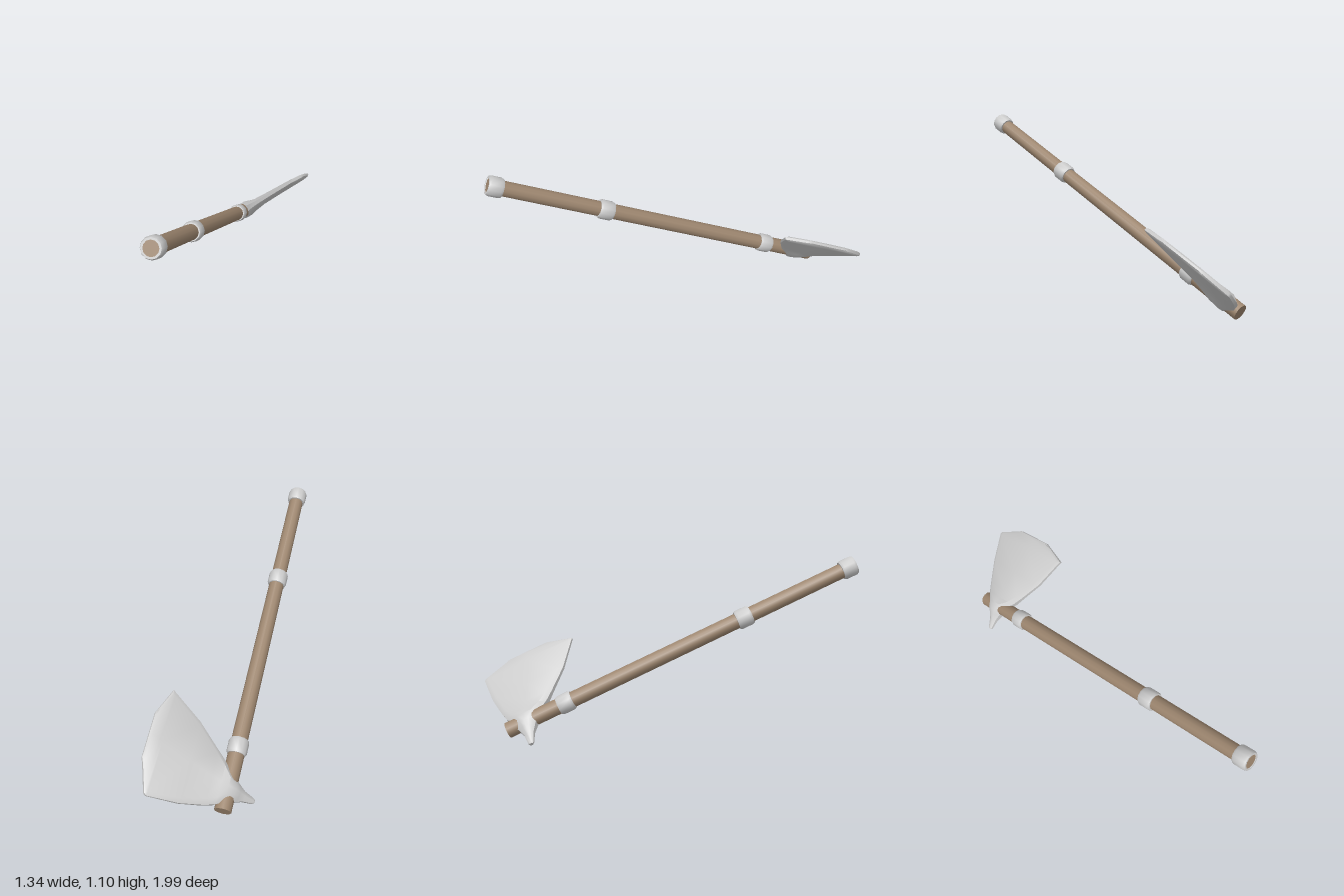
import * as THREE from 'three';
import { toCreasedNormals } from 'three/addons/utils/BufferGeometryUtils.js';

const wood = new THREE.MeshStandardMaterial({ color: 0x9d866f });
const metal = new THREE.MeshStandardMaterial({ color: 0xcccccc });

function addMesh(parent, name, geometry, material, y = 0) {
  const mesh = new THREE.Mesh(geometry, material);
  mesh.name = name;
  mesh.position.y = y;
  parent.add(mesh);
  return mesh;
}

// Metal band with softened rims, around the shaft
function bandGeometry(length) {
  const h = length / 2;
  const profile = [
    [0.043, -h], [0.055, -h], [0.061, -h + 0.014],
    [0.061, h - 0.014], [0.055, h], [0.043, h],
  ].map(([r, y]) => new THREE.Vector2(r, y));
  return toCreasedNormals(new THREE.LatheGeometry(profile, 12), 0.9);
}

// Axe head: bevelled cross-sections lofted from the spike to the cutting edge
// row: x position, lower y, upper y, half thickness, half thickness at the rim
function headGeometry() {
  const rows = [
    [-0.180, 0.108, 0.130, 0.010, 0.004],
    [-0.170, 0.102, 0.136, 0.014, 0.006],
    [-0.105, 0.092, 0.153, 0.024, 0.011],
    [-0.060, 0.073, 0.178, 0.042, 0.018],
    [-0.025, 0.056, 0.200, 0.056, 0.026],
    [0.025, 0.038, 0.232, 0.056, 0.026],
    [0.070, 0.012, 0.282, 0.042, 0.018],
    [0.130, -0.010, 0.330, 0.031, 0.013],
    [0.273, -0.049, 0.442, 0.023, 0.010],
    [0.464, -0.073, 0.548, 0.016, 0.008],
    [0.479, -0.064, 0.557, 0.015, 0.008],
    [0.532, 0.085, 0.424, 0.014, 0.007],
    [0.547, 0.119, 0.389, 0.006, 0.005],
  ];
  const positions = [];
  const index = [];
  const n = 10;
  for (const [x, a, b, t, rim] of rows) {
    const bevel = Math.min(0.3 * (b - a), 0.015 + t * 0.6);
    const mid = (a + b) / 2;
    const half = [[a, -rim], [a + bevel, -t], [mid, -t * 1.04], [b - bevel, -t], [b, -rim]];
    const loop = [...half, ...half.map(([y, z]) => [y, -z]).reverse()];
    loop.forEach(([y, z]) => positions.push(x, y, z));
  }
  for (let i = 0; i < rows.length - 1; i++) {
    for (let j = 0; j < n; j++) {
      const p = i * n + j;
      const q = i * n + (j + 1) % n;
      index.push(p, q, p + n, q, q + n, p + n);
    }
  }
  const last = (rows.length - 1) * n;
  for (let j = 1; j < n - 1; j++) {
    index.push(0, j + 1, j);
    index.push(last, last + j, last + j + 1);
  }
  const geometry = new THREE.BufferGeometry();
  geometry.setAttribute('position', new THREE.Float32BufferAttribute(positions, 3));
  geometry.setIndex(index);
  geometry.computeVertexNormals();
  return toCreasedNormals(geometry, 0.75);
}

export function createModel() {
  const model = new THREE.Group();
  model.name = 'axe';

  // Axe built upright: shaft along y, blade towards x, thickness along z
  const axe = new THREE.Group();
  axe.name = 'tiltedAxe';
  model.add(axe);

  const shaftLength = 2.33;
  addMesh(axe, 'shaft', new THREE.CylinderGeometry(0.046, 0.05, shaftLength, 12), wood, shaftLength / 2);
  addMesh(axe, 'axeHead', headGeometry(), metal);
  addMesh(axe, 'upperBand', bandGeometry(0.095), metal, 0.39);
  addMesh(axe, 'middleBand', bandGeometry(0.095), metal, 1.59);
  addMesh(axe, 'buttBand', bandGeometry(0.09), metal, 2.29);

  // Tilt: shaft rises from the back towards the front, blade leaning to the left
  const y = new THREE.Vector3(-0.366, 0.425, 0.828).normalize();
  const z = new THREE.Vector3(0.395, -0.735, 0.552);
  const x = new THREE.Vector3().crossVectors(y, z).normalize();
  z.crossVectors(x, y);
  axe.quaternion.setFromRotationMatrix(new THREE.Matrix4().makeBasis(x, y, z));
  axe.position.set(0.24, 0.055, -0.968);

  return model;
}
